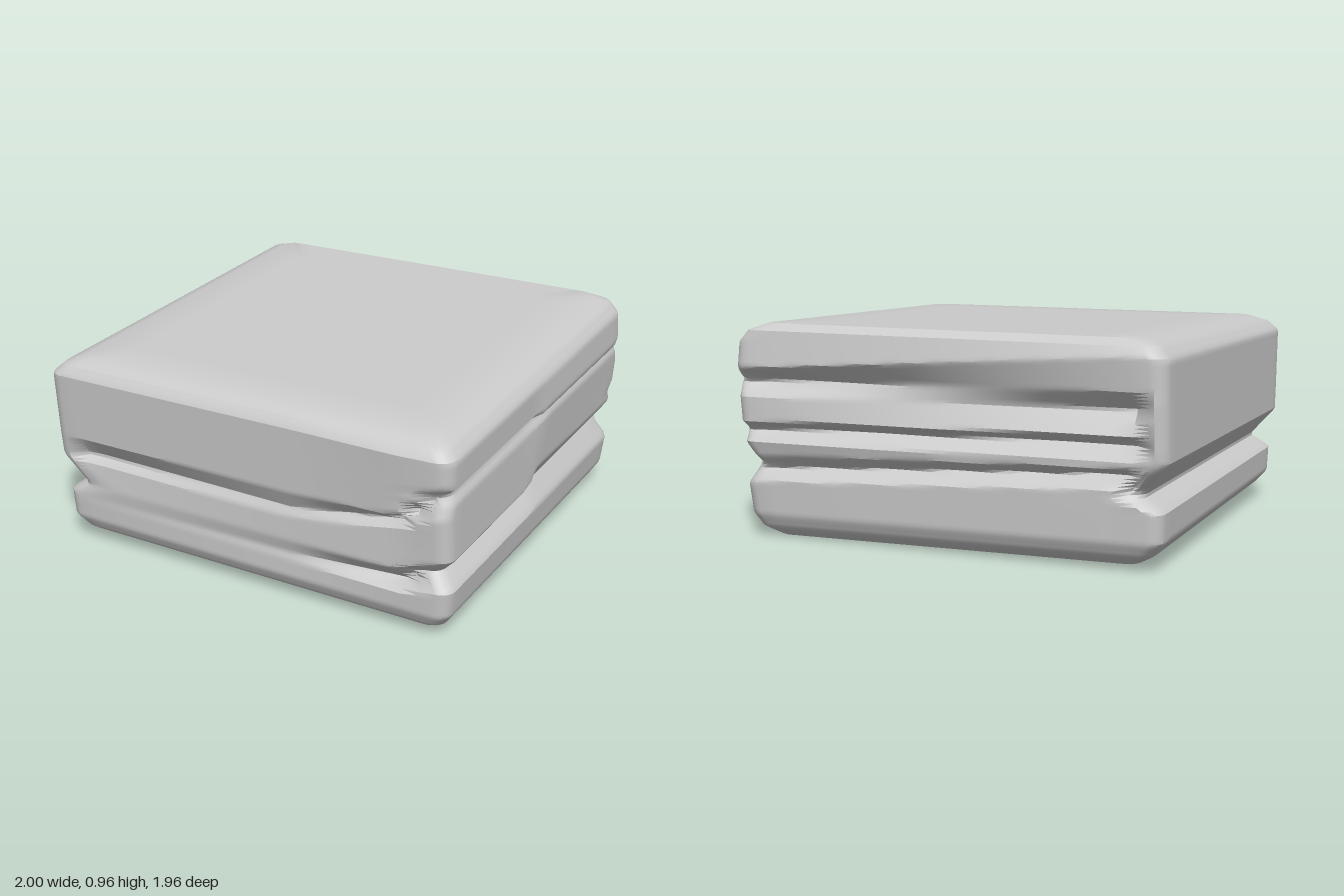
import * as THREE from 'three';
import { toCreasedNormals } from 'three/addons/utils/BufferGeometryUtils.js';

const { lerp } = THREE.MathUtils;

// Side profiles: [height, distance from the centre]. Each side has stations [position along it, profile],
// and the profiles of one side share a point count so folds can slant between stations.
const left = [
  [-1, [[.02, .85], [.06, .92], [.12, .97], [.25, .975], [.31, .88], [.45, 1], [.87, 1], [.92, .95], [.95, .87]]]
];
const right = [
  [-1, [[.02, .86], [.06, .93], [.12, .97], [.25, .985], [.35, .92], [.43, .98], [.69, 1], [.71, .99], [.73, 1], [.87, .995], [.92, .95], [.95, .87]]],
  [0, [[.02, .86], [.06, .93], [.12, .97], [.25, .985], [.35, .92], [.45, .98], [.69, 1], [.71, .99], [.73, 1], [.87, .995], [.92, .95], [.95, .87]]],
  [.1, [[.02, .86], [.06, .93], [.12, .97], [.25, .985], [.32, .92], [.39, .98], [.66, .98], [.705, .955], [.74, .99], [.87, .995], [.92, .95], [.95, .87]]]
];
const front = [
  [-.92, [[.02, .83], [.06, .89], [.12, .92], [.21, .925], [.24, .925], [.31, .92], [.43, .94], [.46, .94], [.56, .95], [.88, .97], [.92, .94], [.95, .87]]],
  [-.84, [[.02, .83], [.06, .89], [.12, .92], [.21, .925], [.24, .925], [.31, .93], [.43, .92], [.46, .88], [.56, .95], [.88, .97], [.92, .94], [.95, .87]]],
  [.25, [[.02, .83], [.06, .89], [.12, .92], [.21, .92], [.24, .91], [.31, .93], [.43, .93], [.47, .91], [.56, .95], [.88, .97], [.92, .94], [.95, .87]]],
  [.76, [[.02, .83], [.06, .89], [.12, .92], [.2, .925], [.24, .85], [.31, .93], [.51, .93], [.54, .88], [.58, .95], [.88, .98], [.92, .94], [.95, .87]]],
  [.94, [[.02, .83], [.06, .89], [.12, .92], [.25, .93], [.32, .88], [.39, .93], [.6, .95], [.69, .92], [.76, .96], [.88, .97], [.92, .94], [.95, .87]]]
];
const back = [
  [-.95, [[.02, .85], [.06, .9], [.12, .93], [.26, .94], [.33, .9], [.42, .95], [.46, .96], [.5, .965], [.63, .975], [.69, .98], [.75, .98], [.88, .985], [.92, .96], [.95, .91]]],
  [-.85, [[.02, .85], [.06, .9], [.12, .93], [.34, .94], [.4, .88], [.43, .95], [.46, .95], [.52, .87], [.56, .95], [.66, .87], [.74, .97], [.88, .985], [.92, .96], [.95, .91]]],
  [.9, [[.02, .85], [.06, .9], [.12, .93], [.27, .94], [.32, .87], [.38, .93], [.44, .95], [.49, .87], [.53, .965], [.64, .965], [.7, .87], [.76, .98], [.92, .96], [.95, .91]]],
  [1, [[.02, .85], [.06, .9], [.12, .92], [.26, .93], [.33, .91], [.38, .94], [.44, .95], [.49, .92], [.53, .97], [.64, .97], [.7, .94], [.76, .98], [.92, .96], [.95, .91]]]
];

// Distance of a side from the centre, at position u along it and height y
function reach(side, u, y) {
  let k = 0;
  while (k < side.length - 2 && u > side[k + 1][0]) k++;
  const [u0, a] = side[k];
  const [u1, b] = side[Math.min(k + 1, side.length - 1)];
  const f = u1 > u0 ? THREE.MathUtils.clamp((u - u0) / (u1 - u0), 0, 1) : 0;
  const pts = a.map((p, i) => [lerp(p[0], b[i][0], f), lerp(p[1], b[i][1], f)]);
  let i = 0;
  while (i < pts.length - 2 && y > pts[i + 1][0]) i++;
  const g = THREE.MathUtils.clamp((y - pts[i][0]) / (pts[i + 1][0] - pts[i][0]), 0, 1);
  return lerp(pts[i][1], pts[i + 1][1], g);
}

// Rounded unit square, running from +x towards +z
function outline() {
  const pts = [], r = 0.07, straight = 24, bend = 5;
  for (let s = 0; s < 4; s++) {
    const c = Math.cos(s * Math.PI / 2), n = Math.sin(s * Math.PI / 2);
    const add = (x, z) => pts.push([x * c - z * n, x * n + z * c]);
    for (let i = 0; i < straight; i++) add(1, lerp(r - 1, 1 - r, i / straight));
    for (let i = 0; i < bend; i++) {
      const t = i / bend * Math.PI / 2;
      add(1 - r + r * Math.cos(t), 1 - r + r * Math.sin(t));
    }
  }
  return pts;
}

function foldedBody() {
  // Rings [height, scale]: underside, folded sides, top
  const rings = [[.02, .001], [.02, .4], [.02, .8]];
  for (let i = 0; i <= 62; i++) rings.push([.02 + i * .015, 1]);
  rings.push([.95, .8], [.95, .4], [.95, .001]);

  const path = outline(), n = path.length, pos = [], index = [];
  rings.forEach(([y, s], j) => path.forEach(([u, w], i) => {
    const x = s * u * (u > 0 ? reach(right, w, y) : reach(left, w, y));
    const z = s * w * (w > 0 ? reach(front, u, y) : reach(back, u, y));
    // The top rises to the back, the underside sags to one side
    const t = (y - .02) / .93;
    const sag = .006 - .012 * x + .006 * z;
    const rise = -.026 * z + .004 * (1 - s);
    pos.push(x, y + lerp(sag, rise, t), z);
    if (j < rings.length - 1) {
      const a = j * n + i, b = j * n + (i + 1) % n;
      index.push(a, a + n, b, b, a + n, b + n);
    }
  }));
  const geo = new THREE.BufferGeometry();
  geo.setAttribute('position', new THREE.Float32BufferAttribute(pos, 3));
  geo.setIndex(index);
  geo.computeBoundingBox();
  geo.translate(0, -geo.boundingBox.min.y, 0);
  return toCreasedNormals(geo, 0.5);
}

export function createModel() {
  const group = new THREE.Group();
  group.name = 'foldedStack';
  const body = new THREE.Mesh(foldedBody(), new THREE.MeshStandardMaterial({ color: 0xcccccc }));
  body.name = 'foldedCloth';
  group.add(body);
  return group;
}
